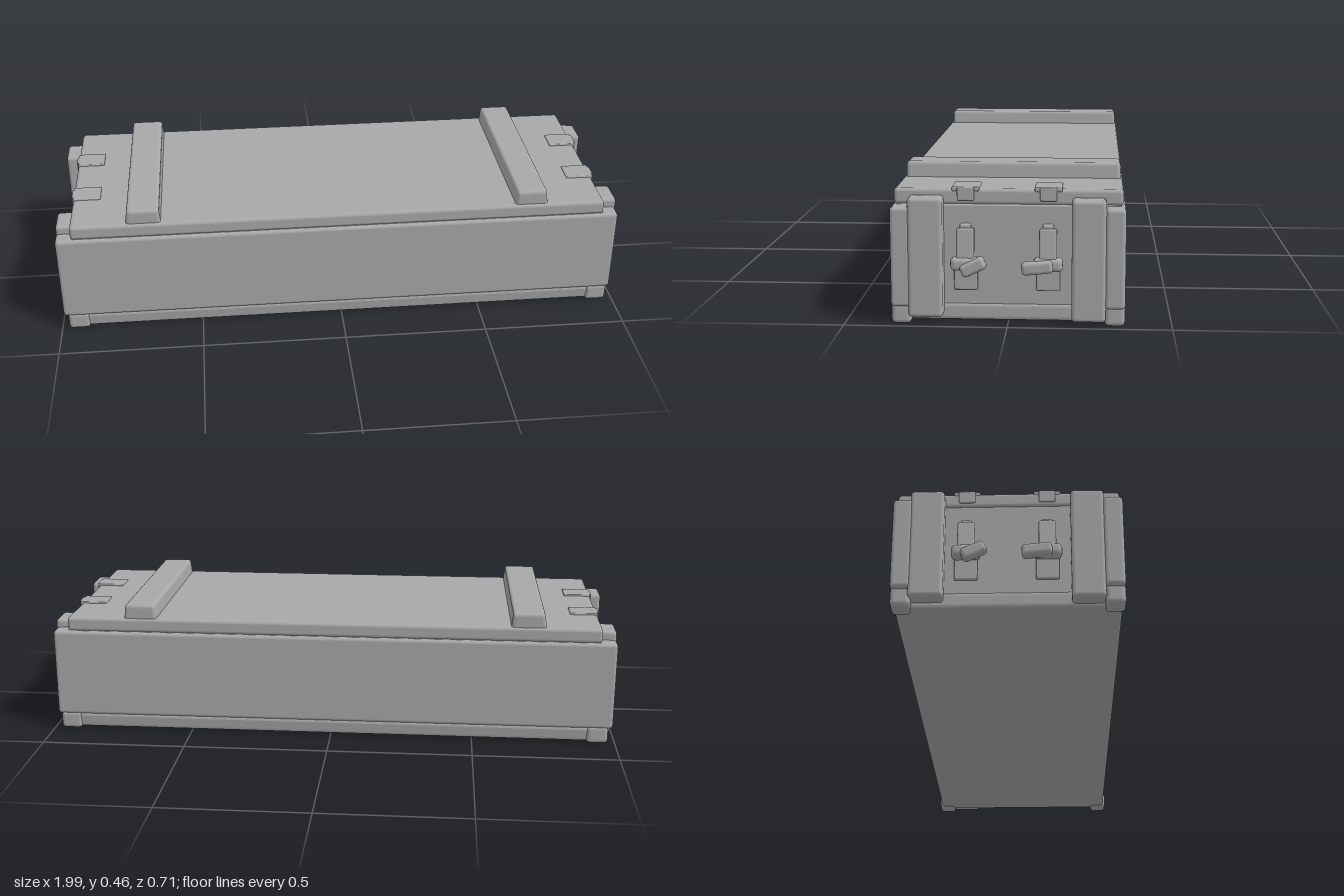
import * as THREE from 'three';
import { RoundedBoxGeometry } from 'three/addons/geometries/RoundedBoxGeometry.js';

export function createModel() {
  const model = new THREE.Group();
  model.name = 'woodenCrate';
  const grey = new THREE.MeshStandardMaterial({ color: 0xa8a8a8 });
  grey.name = 'plain grey';

  // Soft-edged box given by its min and max along each axis
  function board(name, x, y, z, radius = 0.01, parent = model) {
    const size = [x, y, z].map(([a, b]) => b - a);
    const r = Math.min(radius, Math.min(...size) * 0.45);
    const mesh = new THREE.Mesh(new RoundedBoxGeometry(...size, 2, r), grey);
    mesh.position.set((x[0] + x[1]) / 2, (y[0] + y[1]) / 2, (z[0] + z[1]) / 2);
    mesh.name = name;
    parent.add(mesh);
    return mesh;
  }

  // Chest, floor and lid
  board('chest', [-0.935, 0.935], [0.012, 0.37], [-0.345, 0.345], 0.006);
  const floor = board('floorBoard', [-0.94, 0.94], [0.008, 0.062], [-0.352, 0.352], 0.012);
  board('lid', [-0.937, 0.932], [0.368, 0.418], [-0.35, 0.35], 0.012);

  // Worn, slightly wavy lower edge of the floor
  const p = floor.geometry.attributes.position;
  for (let i = 0; i < p.count; i++) {
    if (p.getY(i) < 0) p.setZ(i, p.getZ(i) * 0.99);
  }
  floor.geometry.computeVertexNormals();

  // Lid battens with sloping flanks
  for (const [a, b] of [[-0.745, -0.625], [0.615, 0.73]]) {
    const batten = board('lidBatten', [a, b], [0.405, 0.467], [-0.343, 0.34], 0.012);
    const q = batten.geometry.attributes.position;
    for (let i = 0; i < q.count; i++) if (q.getY(i) > 0) q.setX(i, q.getX(i) * 0.93);
    batten.geometry.computeVertexNormals();
  }

  // Long side boards
  for (const s of [-1, 1]) {
    const z = s > 0 ? [0.295, 0.357] : [-0.357, -0.295];
    board('sideBoard', [-0.99, 0.985], [0.058, 0.368], z, 0.012);
    for (const e of [-1, 1]) {
      const x = e > 0 ? [0.9, 0.975] : [-0.975, -0.9];
      board('cornerFoot', x, [0.003, 0.066], z, 0.014);
    }
  }

  // Toggle latch; wing gives which way its handle leans
  function latch(parent, z, wing) {
    const g = new THREE.Group();
    g.name = 'latch';
    g.position.z = z;
    parent.add(g);
    board('latchPlate', [0.925, 0.945], [0.105, 0.2], [-0.036, 0.036], 0.004, g);
    const arm = board('latchArm', [0.94, 0.968], [0.185, 0.3], [-0.027, 0.027], 0.006, g);
    arm.rotation.z = 0.1;
    board('latchHook', [0.93, 0.955], [0.28, 0.312], [-0.017, 0.017], 0.006, g);
    board('latchBarrel', [0.935, 0.98], [0.17, 0.212], [-0.045, 0.045], 0.015, g);
    const handle = board('latchHandle', [0.955, 0.993], [0.165, 0.205],
      wing < 0 ? [-0.065, 0.015] : [-0.015, 0.08], 0.012, g);
    handle.rotation.x = wing < 0 ? 0.45 : 0.1;
    // Catch plate folded over the lid edge
    board('catchTop', [0.84, 0.937], [0.41, 0.424], [-0.042, 0.042], 0.004, g);
    board('catchFront', [0.925, 0.942], [0.382, 0.424], [-0.026, 0.026], 0.004, g);
  }

  // Both ends: two posts and two latches each
  for (const turn of [0, Math.PI]) {
    const end = new THREE.Group();
    end.name = turn ? 'rightEnd' : 'leftEnd';
    end.rotation.y = turn;
    model.add(end);
    board('endPost', [0.925, 0.99], [0.027, 0.398], [0.197, 0.303], 0.012, end);
    board('endPost', [0.925, 0.99], [0.018, 0.394], [-0.298, -0.194], 0.012, end);
    latch(end, 0.13, -1);
    latch(end, -0.122, 1);
  }
  return model;
}
